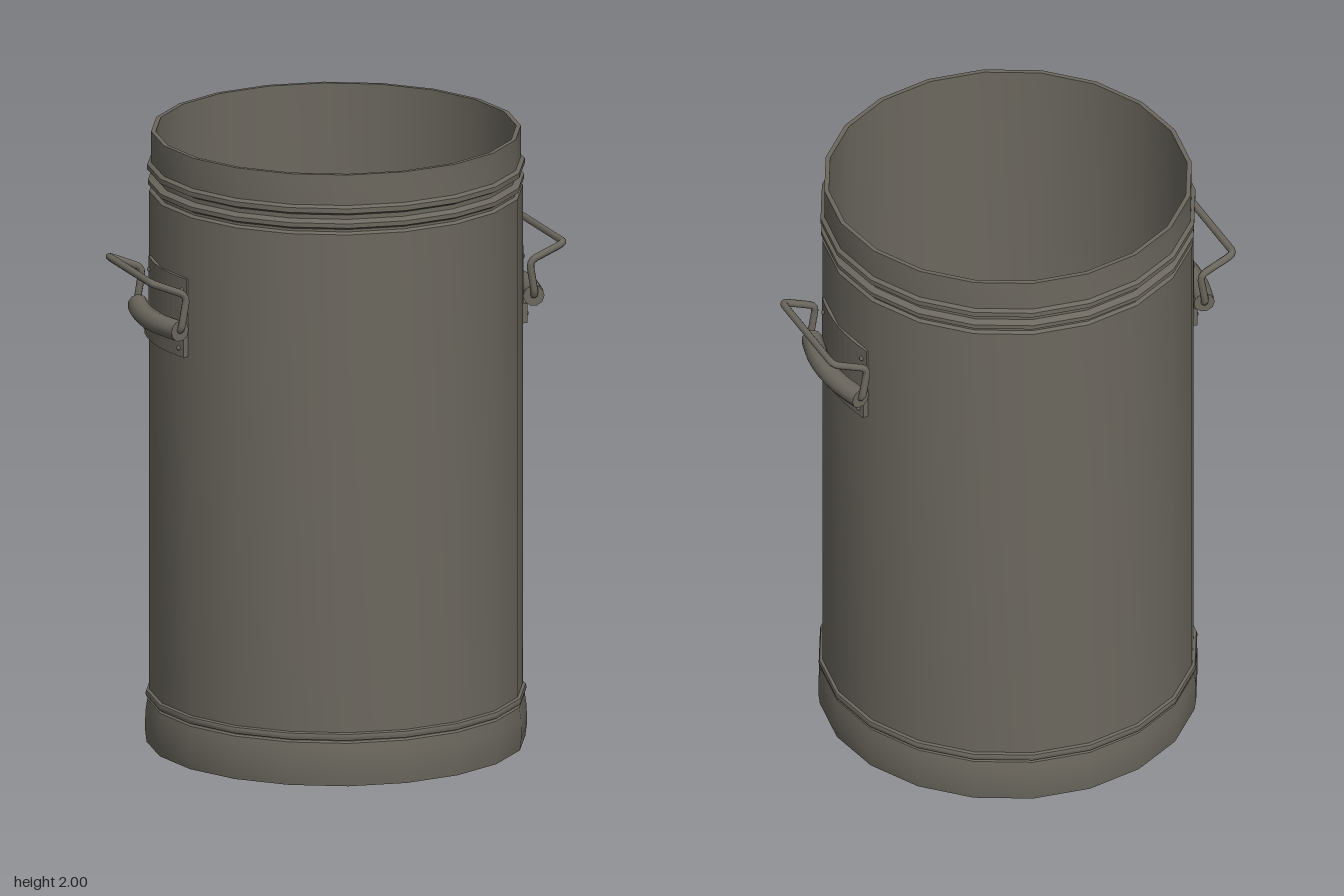
import * as THREE from 'three';
import { toCreasedNormals } from 'three/addons/utils/BufferGeometryUtils.js';

const SIDES = 20;
const metal = new THREE.MeshStandardMaterial({ color: 0x6c685f });
metal.name = 'dull grey metal';

function part(name, geometry, parent) {
  const mesh = new THREE.Mesh(geometry, metal);
  mesh.name = name;
  parent.add(mesh);
  return mesh;
}

// Revolved profile of [radius, height] pairs, with sharp edges kept
function turned(profile) {
  const points = profile.map(([r, y]) => new THREE.Vector2(r, y));
  return toCreasedNormals(new THREE.LatheGeometry(points, SIDES), 0.6);
}

// Curved sheet following the drum wall, centred on +x
function curvedPlate(inner, outer, halfAngle, y0, y1) {
  const shape = new THREE.Shape();
  shape.absarc(0, 0, outer, -halfAngle, halfAngle, false);
  shape.absarc(0, 0, inner, halfAngle, -halfAngle, true);
  const g = new THREE.ExtrudeGeometry(shape, { depth: y1 - y0, bevelEnabled: false, curveSegments: 4 });
  g.rotateX(-Math.PI / 2);
  g.translate(0, y0, 0);
  return g;
}

// Polyline with small rounded corners
function roundedPath(points, r) {
  const path = new THREE.CurvePath();
  let from = points[0];
  for (let i = 1; i < points.length - 1; i++) {
    const p = points[i];
    const a = p.clone().add(points[i - 1].clone().sub(p).setLength(r));
    const b = p.clone().add(points[i + 1].clone().sub(p).setLength(r));
    path.add(new THREE.LineCurve3(from, a));
    path.add(new THREE.QuadraticBezierCurve3(a, p, b));
    from = b;
  }
  path.add(new THREE.LineCurve3(from, points[points.length - 1]));
  return path;
}

function createHandle() {
  const handle = new THREE.Group();
  handle.name = 'handle';

  // Mounting plate, with a folded lower flap
  part('mountingPlate', curvedPlate(0.575, 0.598, 0.275, 1.345, 1.6), handle);
  part('plateFlap', curvedPlate(0.59, 0.61, 0.275, 1.345, 1.41), handle);

  // Rolled sleeve that holds the wire, bowed along the wall
  const v = (x, y, z) => new THREE.Vector3(x, y, z);
  const bow = new THREE.CatmullRomCurve3([
    v(0.604, 1.437, -0.18), v(0.627, 1.437, -0.09), v(0.635, 1.437, 0),
    v(0.627, 1.437, 0.09), v(0.604, 1.437, 0.18),
  ]);
  part('sleeve', new THREE.TubeGeometry(bow, 8, 0.034, 10), handle);
  for (const side of [-1, 1]) {
    const cap = part('sleeveEnd', new THREE.CircleGeometry(0.034, 10), handle);
    cap.position.set(0.604, 1.437, side * 0.18);
    cap.rotation.y = side > 0 ? -0.25 : Math.PI + 0.25;
  }

  // Bent wire grip
  const wire = roundedPath([
    v(0.605, 1.437, -0.16), v(0.605, 1.437, -0.19), v(0.585, 1.555, -0.19), v(0.705, 1.605, -0.19),
    v(0.705, 1.605, 0.19), v(0.585, 1.555, 0.19), v(0.605, 1.437, 0.19), v(0.605, 1.437, 0.16),
  ], 0.025);
  part('wireGrip', new THREE.TubeGeometry(wire, 80, 0.012, 8), handle);

  // Rivets at the plate corners
  for (const [y, r] of [[1.56, 0.598], [1.372, 0.61]]) {
    for (const angle of [-0.235, 0.235]) {
      const rivet = part('rivet', new THREE.SphereGeometry(0.008, 8, 6), handle);
      rivet.position.set(r * Math.cos(angle), y, r * Math.sin(angle));
    }
  }
  return handle;
}

export function createModel() {
  const model = new THREE.Group();
  model.name = 'metalDrum';

  // Open drum: outer wall, ridged neck, rim, inner wall and floor
  part('drumBody', turned([
    [0.594, 0.1], [0.594, 1.805], [0.583, 1.812], [0.583, 1.82],
    [0.598, 1.828], [0.598, 1.842], [0.578, 1.852], [0.578, 1.866],
    [0.6, 1.876], [0.6, 1.892], [0.588, 1.9], [0.588, 2],
    [0.573, 2], [0.573, 0.03], [0, 0.03],
  ]), model);

  // Base cap with a bead along its upper edge
  part('baseCap', turned([
    [0, 0], [0.602, 0], [0.607, 0.04], [0.606, 0.1], [0.6, 0.14], [0.594, 0.146],
  ]), model);
  part('baseBead', turned([
    [0.59, 0.146], [0.603, 0.15], [0.606, 0.16], [0.603, 0.17], [0.59, 0.175],
  ]), model);

  // Handles on both sides
  for (const turn of [0, Math.PI]) {
    const handle = createHandle();
    handle.rotation.y = turn;
    model.add(handle);
  }
  return model;
}
